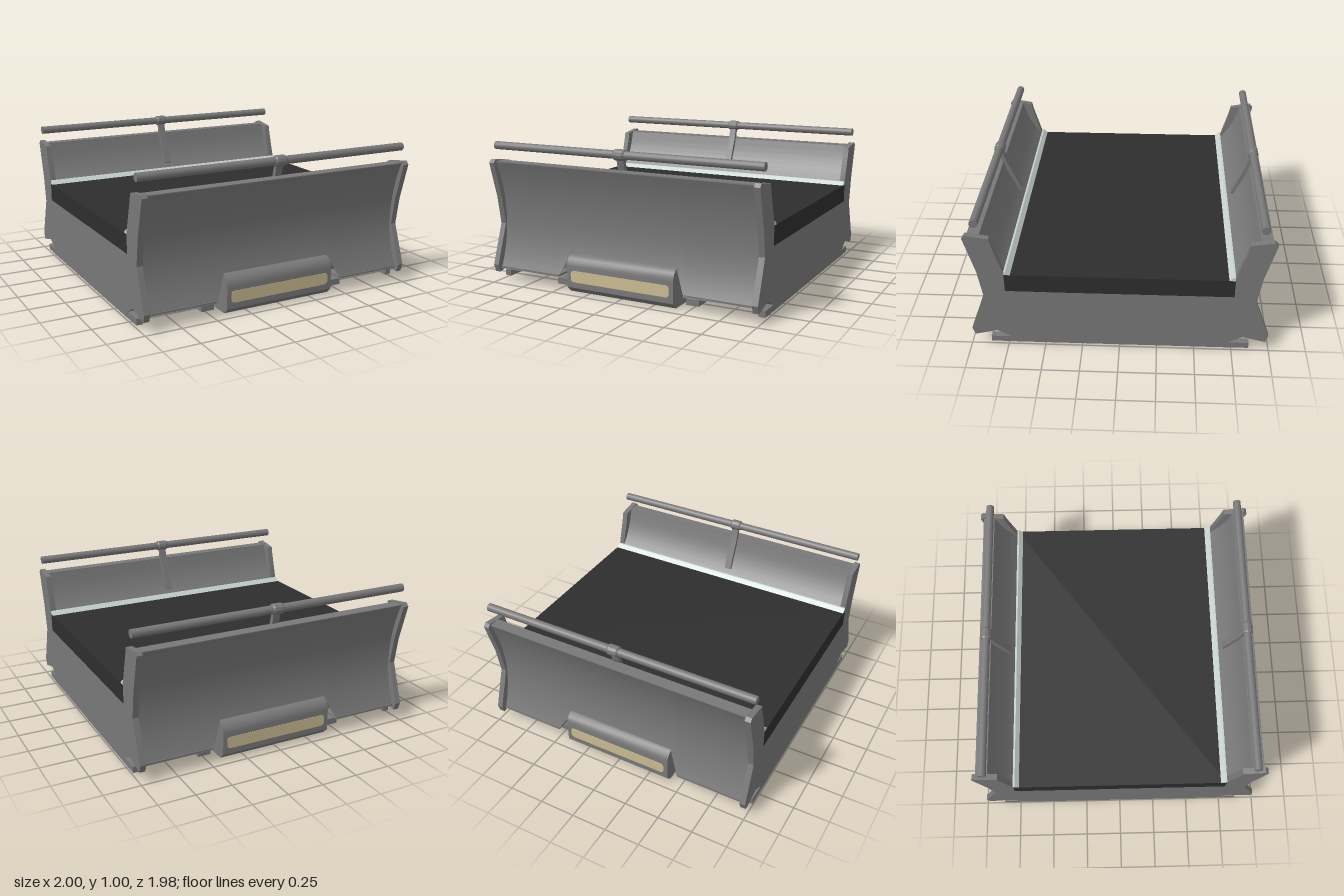
import * as THREE from 'three';
import { toCreasedNormals } from 'three/addons/utils/BufferGeometryUtils.js';

const mat = (name, color, side = THREE.FrontSide) => {
  const m = new THREE.MeshStandardMaterial({ color, side });
  m.name = name;
  return m;
};

export function createModel() {
  const grey = mat('panel grey', 0x787878, THREE.DoubleSide);
  const dark = mat('deck charcoal', 0x2e2e2e);
  const pale = mat('pale strip', 0xc6d2cc);
  const tan = mat('lamp tan', 0xcabc92);

  const model = new THREE.Group();
  model.name = 'deckSection';

  const add = (parent, name, geo, material, x = 0, y = 0, z = 0) => {
    const m = new THREE.Mesh(geo, material);
    m.name = name;
    m.position.set(x, y, z);
    parent.add(m);
    return m;
  };
  const box = (w, h, d) => new THREE.BoxGeometry(w, h, d);

  // Extrude a (z, y) outline across x, centred on x = 0
  const across = (pts, width) => {
    const shape = new THREE.Shape(pts.map(([z, y]) => new THREE.Vector2(z, y)));
    const g = new THREE.ExtrudeGeometry(shape, { depth: width, bevelEnabled: false });
    g.rotateY(-Math.PI / 2).translate(width / 2, 0, 0);
    return toCreasedNormals(g, 0.4);
  };
  // Close a half outline by mirroring it front to back
  const mirrored = (half) => [...half, ...half.map(([z, y]) => [-z, y]).reverse()];

  // Concave outer face of the end walls
  const wallZ = (y) => 0.875 + (y > 0.45 ? 0.52 : 0.65) * (y - 0.45) ** 2;

  // Core: floor shell, wall thickness and the trough under the deck
  const outer = [];
  for (let i = 0; i <= 10; i++) {
    const y = 0.29 + (0.862 - 0.29) * i / 10;
    outer.push([wallZ(y) - 0.006, y]);
  }
  const inner = new THREE.SplineCurve([[0.885, 0.862], [0.85, 0.75], [0.8, 0.655], [0.74, 0.58]]
    .map(([z, y]) => new THREE.Vector2(z, y))).getPoints(8).map((p) => [p.x, p.y]);
  add(model, 'core', across(mirrored([
    [0.66, 0.035], [0.73, 0.065], [0.8, 0.113], [0.82, 0.275],
    ...outer, ...inner, [0.74, 0.45],
  ]), 1.93), grey);

  // Deck
  add(model, 'deck', box(2, 0.13, 1.49), dark, 0, 0.514, 0);

  // End plates and the long rails beneath
  const plate = across(mirrored([
    [0.73, 0.02], [0.73, 0.065], [0.82, 0.115], [0.972, 0.077], [0.99, 0.13], [0.89, 0.41],
    [0.92, 0.6], [0.99, 0.855], [0.97, 0.878], [0.82, 0.855], [0.805, 0.79], [0.745, 0.59], [0.745, 0.45],
  ]), 0.04);
  for (const s of [-1, 1]) {
    add(model, 'sidePlate', plate, grey, s * 0.98, 0, 0);
    add(model, 'outerRail', box(0.045, 0.043, 1.73), grey, s * 0.977, 0.042, 0);
    add(model, 'innerRail', box(0.09, 0.043, 1.73), grey, s * 0.5, 0.042, 0);
  }

  // Curved wall skin with a trapezoid notch for the lamp housing
  const xs = [-0.965, -0.48, -0.4, 0.4, 0.48, 0.965];
  const bottoms = [0.1, 0.1, 0.27, 0.27, 0.1, 0.1];
  const rows = 20;
  const wall = new THREE.PlaneGeometry(1, 1, xs.length - 1, rows);
  const pos = wall.attributes.position;
  for (let i = 0; i < pos.count; i++) {
    const c = i % xs.length;
    const t = 1 - Math.floor(i / xs.length) / rows;
    const y = bottoms[c] + (0.865 - bottoms[c]) * t;
    pos.setXYZ(i, xs[c], y, wallZ(y));
  }
  wall.computeVertexNormals();

  const housing = across([
    [0.69, 0.002], [0.91, 0.002], [0.95, 0.04], [0.95, 0.19], [0.946, 0.215],
    [0.932, 0.24], [0.91, 0.258], [0.885, 0.266], [0.69, 0.266],
  ], 0.81);

  // Rounded lamp outline
  const w = 0.375, h = 0.04, r = 0.025;
  const lamp = new THREE.Shape();
  lamp.moveTo(-w + r, -h);
  lamp.absarc(w - r, -h + r, r, -Math.PI / 2, 0);
  lamp.absarc(w - r, h - r, r, 0, Math.PI / 2);
  lamp.absarc(-w + r, h - r, r, Math.PI / 2, Math.PI);
  lamp.absarc(-w + r, -h + r, r, Math.PI, Math.PI * 1.5);
  const lampGeo = new THREE.ExtrudeGeometry(lamp, { depth: 0.004, bevelEnabled: false, curveSegments: 6 });

  const strip = across([[0.703, 0.578], [0.745, 0.578], [0.745, 0.605], [0.732, 0.605]], 2);
  const strut = across([[0.86, 0.86], [0.765, 0.64], [0.785, 0.63], [0.89, 0.85], [0.912, 0.95], [0.886, 0.95]], 0.05);
  const rod = new THREE.CylinderGeometry(0.028, 0.028, 2, 16).rotateZ(Math.PI / 2);
  const clamp = toCreasedNormals(new THREE.LatheGeometry([
    [0.026, -0.04], [0.032, -0.04], [0.038, -0.03], [0.038, 0.03], [0.032, 0.04], [0.026, 0.04],
  ].map(([a, b]) => new THREE.Vector2(a, b)), 12).rotateZ(Math.PI / 2), 0.4);

  // Both ends are alike
  for (const name of ['frontEnd', 'backEnd']) {
    const end = new THREE.Group();
    end.name = name;
    if (name === 'backEnd') end.rotation.y = Math.PI;
    model.add(end);
    add(end, 'curvedWall', wall, grey);
    add(end, 'wallTop', box(1.93, 0.006, 0.08), grey, 0, 0.862, 0.925);
    add(end, 'lampHousing', housing, grey);
    add(end, 'lamp', lampGeo, tan, 0, 0.12, 0.949);
    add(end, 'edgeStrip', strip, pale);
    add(end, 'handrail', rod, grey, 0, 0.967, 0.905);
    add(end, 'railClamp', clamp, grey, 0, 0.967, 0.905);
    add(end, 'railStrut', strut, grey);
    // Lip closing the underside of the wall beside the housing
    for (const s of [-1, 1]) add(end, 'wallLip', box(0.485, 0.014, 0.163), grey, s * 0.7225, 0.107, 0.872);
  }
  return model;
}
